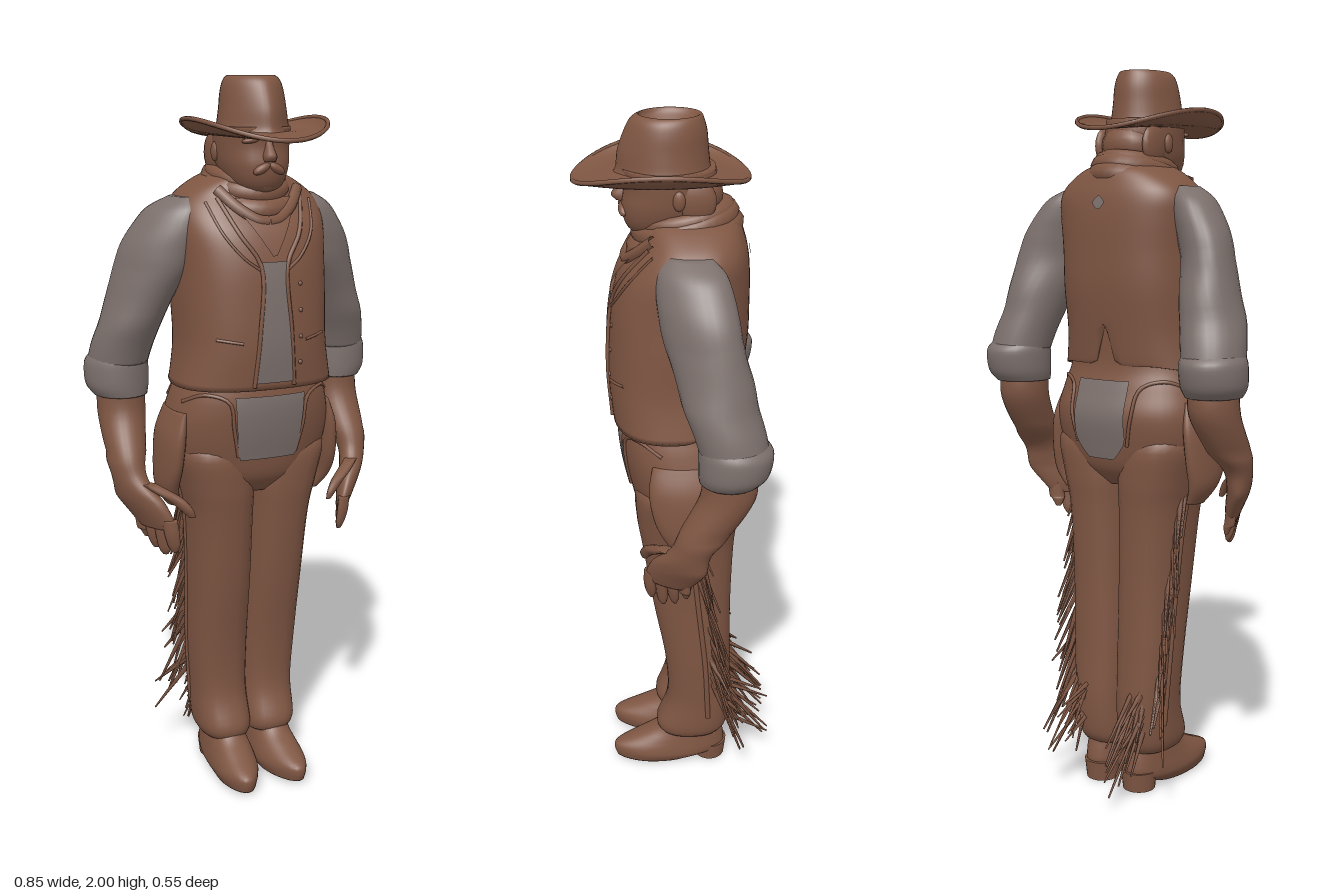
import * as THREE from 'three';

const mat = (name, color) => new THREE.MeshStandardMaterial({ name, color, side: THREE.DoubleSide });

// Smoothly sampled cross-section [x, y, z, rx, rz] at t in 0..1
function sample(secs, t) {
  const f = t * (secs.length - 1), i = Math.min(Math.floor(f), secs.length - 2), k = f - i;
  const at = j => secs[Math.max(0, Math.min(secs.length - 1, j))];
  return [0, 1, 2, 3, 4].map(c => {
    const [a, b, d, e] = [at(i - 1)[c], at(i)[c], at(i + 1)[c], at(i + 2)[c]];
    return b + 0.5 * k * (d - a + k * (2 * a - 5 * b + 4 * d - e + k * (3 * (b - d) + e - a)));
  });
}

// Grid of points; wrap joins the last column to the first
function grid(nu, nv, wrap, fn) {
  const pos = [], idx = [], cols = wrap ? nu : nu + 1;
  for (let j = 0; j <= nv; j++) for (let i = 0; i < cols; i++) pos.push(...fn(i / nu, j / nv, j));
  for (let j = 0; j < nv; j++) for (let i = 0; i < nu; i++) {
    const a = j * cols + i, b = j * cols + (i + 1) % cols, c = a + cols, d = b + cols;
    idx.push(a, b, d, a, d, c);
  }
  const g = new THREE.BufferGeometry();
  g.setAttribute('position', new THREE.Float32BufferAttribute(pos, 3));
  g.setIndex(idx);
  g.computeVertexNormals();
  return g;
}

// Closed body through horizontal superellipse sections, with an optional vertex rule
function loft(secs, { s = 1, n = 2, segs = 28, rule = null } = {}) {
  if (secs[0][1] > secs[secs.length - 1][1]) secs = [...secs].reverse();
  const rows = (secs.length - 1) * 5;
  return grid(segs, rows + 2, true, (u, v, j) => {
    const [x, y, z, rx, rz] = sample(secs, Math.max(0, Math.min(1, (j - 1) / rows)));
    const k = j === 0 || j === rows + 2 ? 0.001 : 1, a = u * Math.PI * 2;
    const pw = w => Math.sign(w) * Math.abs(w) ** (2 / n) * k;
    const p = [s * x + rx * pw(Math.sin(a)), y, z + rz * pw(Math.cos(a))];
    return rule ? rule(p) : p;
  });
}

// Point on the front (sign 1) or back (sign -1) of a lofted body
function onSurface(secs, n, x, y, sign, off) {
  let lo = 0, hi = 1;
  for (let i = 0; i < 24; i++) { const m = (lo + hi) / 2; if (sample(secs, m)[1] < y) lo = m; else hi = m; }
  const [, , z, rx, rz] = sample(secs, lo);
  return [x, y, z + sign * (off + rz * Math.max(0, 1 - Math.abs(x / rx) ** n) ** (1 / n))];
}

const patch = (secs, n, sign, y0, y1, width, off) => grid(14, 14, false, (u, v) =>
  onSurface(secs, n, sign * (2 * u - 1) * width(v), y0 + (y1 - y0) * v, sign, off));

const surfaceTube = (secs, n, sign, pts, r) => new THREE.TubeGeometry(new THREE.CatmullRomCurve3(
  pts.map(([x, y]) => new THREE.Vector3(...onSurface(secs, n, x, y, sign, 0.002)))), 20, r, 6);

const TORSO = [[0, 1.19, 0.018, 0.225, 0.165], [0, 1.3, 0.015, 0.207, 0.178], [0, 1.42, 0.005, 0.207, 0.184],
  [0, 1.52, -0.001, 0.207, 0.18], [0, 1.6, -0.012, 0.212, 0.168], [0, 1.655, -0.027, 0.21, 0.148],
  [0, 1.695, -0.035, 0.185, 0.13], [0, 1.735, -0.032, 0.125, 0.115], [0, 1.755, -0.025, 0.07, 0.08]];
const HIPS = [[0, 0.88, -0.015, 0.1, 0.1], [0, 0.93, -0.015, 0.18, 0.14], [0, 1.0, -0.015, 0.225, 0.158],
  [0, 1.08, -0.012, 0.236, 0.171], [0, 1.15, 0, 0.222, 0.165], [0, 1.22, 0.005, 0.2, 0.153], [0, 1.35, 0, 0.18, 0.155]];
const LEG = [[0.11, 1.05, -0.015, 0.07, 0.09], [0.11, 1.0, -0.015, 0.11, 0.139], [0.096, 0.9, -0.017, 0.104, 0.141],
  [0.087, 0.8, -0.02, 0.093, 0.13], [0.081, 0.6, -0.032, 0.088, 0.113], [0.078, 0.4, -0.05, 0.085, 0.097],
  [0.074, 0.25, -0.055, 0.08, 0.096], [0.071, 0.15, -0.035, 0.08, 0.108], [0.068, 0.115, -0.03, 0.07, 0.094]];
const SLEEVE = [[0.18, 1.69, -0.045, 0.025, 0.05], [0.195, 1.66, -0.04, 0.066, 0.078], [0.217, 1.615, -0.035, 0.082, 0.089],
  [0.243, 1.56, -0.032, 0.089, 0.092], [0.266, 1.49, -0.036, 0.087, 0.093], [0.293, 1.4, -0.07, 0.084, 0.097],
  [0.323, 1.3, -0.108, 0.085, 0.093], [0.335, 1.24, -0.125, 0.083, 0.09]];
const CUFF = [[0.334, 1.26, -0.122, 0.08, 0.085], [0.338, 1.235, -0.13, 0.088, 0.096], [0.338, 1.18, -0.126, 0.087, 0.092],
  [0.332, 1.15, -0.117, 0.074, 0.08]];
const FOREARM = [[0.33, 1.18, -0.115, 0.066, 0.07], [0.332, 1.1, -0.112, 0.066, 0.073], [0.34, 1.0, -0.056, 0.054, 0.068],
  [0.334, 0.94, -0.018, 0.041, 0.054], [0.318, 0.88, 0.012, 0.036, 0.07], [0.302, 0.83, 0.034, 0.028, 0.066],
  [0.295, 0.8, 0.042, 0.02, 0.055]];
const THUMB = [[0.315, 0.925, 0.045, 0.02, 0.022], [0.285, 0.895, 0.08, 0.022, 0.021], [0.26, 0.86, 0.1, 0.016, 0.016],
  [0.247, 0.835, 0.105, 0.008, 0.008]];
const BOOT = [[0.067, 0.004, 0.08, 0.054, 0.12], [0.067, 0.03, 0.05, 0.066, 0.157], [0.067, 0.052, 0.032, 0.066, 0.165],
  [0.067, 0.085, 0.0, 0.06, 0.132], [0.067, 0.12, -0.025, 0.055, 0.1], [0.067, 0.18, -0.045, 0.05, 0.075]];
const HEAD = [[0, 1.695, 0.07, 0.035, 0.045], [0, 1.725, 0.052, 0.07, 0.088], [0, 1.77, 0.033, 0.09, 0.117],
  [0, 1.82, 0.024, 0.096, 0.12], [0, 1.87, 0.03, 0.097, 0.12]];
const CROWN = [[0, 1.848, 0.043, 0.11, 0.132], [0, 1.865, 0.042, 0.096, 0.12], [0, 1.91, 0.042, 0.088, 0.114],
  [0, 1.955, 0.036, 0.082, 0.104], [0, 1.985, 0.032, 0.073, 0.092], [0, 1.998, 0.026, 0.058, 0.078],
  [0, 1.985, 0.032, 0.046, 0.07], [0, 1.965, 0.038, 0.022, 0.045]];

export function createModel() {
  const model = new THREE.Group();
  const leather = mat('brown leather', 0x7f5643), cloth = mat('grey cloth', 0x7c706c);
  let seed = 7;
  const rand = () => (seed = (seed * 16807) % 2147483647) / 2147483647;
  const add = (name, geo, m = leather) => {
    const mesh = new THREE.Mesh(geo, m);
    mesh.name = name;
    model.add(mesh);
    return mesh;
  };
  const ball = (name, [x, y, z], [rx, ry, rz], tilt = 0) => {
    const b = add(name, new THREE.SphereGeometry(1, 14, 10));
    b.position.set(x, y, z); b.scale.set(rx, ry, rz); b.rotation.z = tilt;
  };
  const strand = (a, b, r) => {
    const A = new THREE.Vector3(...a), d = new THREE.Vector3(...b).sub(A);
    const c = add('fringeStrand', new THREE.CylinderGeometry(r * 0.3, r, d.length(), 4));
    c.position.copy(A).addScaledVector(d, 0.5);
    c.quaternion.setFromUnitVectors(new THREE.Vector3(0, 1, 0), d.normalize());
  };

  // Vest with a slit at the back hem, and the shirt in its opening
  add('vest', loft(TORSO, { n: 2.5, segs: 72, rule: ([x, y, z]) =>
    [x, z < 0 ? Math.max(y, 1.19 + Math.min(0.025, -z * 0.2) + 0.11 * Math.max(0, 1 - Math.abs(x) / 0.035)) : y, z] }));
  add('shirtFront', patch(TORSO, 2.5, 1, 1.21, 1.53, v => 0.055 - 0.018 * v, 0.004), cloth);
  add('backSpot', patch(TORSO, 2.5, -1, 1.63, 1.665, v => 0.003 + 0.016 * Math.sin(v * Math.PI), 0.005), cloth);
  for (const s of [-1, 1]) {
    add('vestEdge', surfaceTube(TORSO, 2.5, 1, [[s * 0.12, 1.69], [s * 0.085, 1.6], [s * 0.038, 1.52], [s * 0.045, 1.35], [s * 0.058, 1.2]], 0.006));
    add('lapel', surfaceTube(TORSO, 2.5, 1, [[s * 0.15, 1.68], [s * 0.125, 1.6], [s * 0.08, 1.54], [s * 0.04, 1.51]], 0.004));
    add('vestPocket', surfaceTube(TORSO, 2.5, 1, [[s * 0.09, 1.32], [s * 0.12, 1.325], [s * 0.155, 1.33]], 0.004));
  }
  for (let i = 0; i < 4; i++) ball('vestButton', onSurface(TORSO, 2.5, 0.075, 1.26 + i * 0.07, 1, 0.001), [0.006, 0.006, 0.004]);

  // Trousers with open-seat chaps
  add('hips', loft(HIPS, { n: 2.3, segs: 48 }));
  add('frontPatch', patch(HIPS, 2.3, 1, 0.99, 1.17, v => 0.08 + 0.022 * Math.sqrt(v), 0.007), cloth);
  add('seatPatch', patch(HIPS, 2.3, -1, 0.96, 1.175, v => 0.085 * Math.sqrt(Math.min(1, 0.25 + v * 3)), 0.008), cloth);
  for (const sign of [1, -1]) for (const s of [-1, 1])
    add('chapsBelt', surfaceTube(HIPS, 2.3, sign, [[s * 0.215, 1.15], [s * 0.17, 1.175], [s * 0.115, 1.155], [s * 0.102, 1.08], [s * 0.085, 1.0]], 0.005));

  for (const s of [-1, 1]) {
    // Leg, side flap and boot
    add('leg', loft(LEG, { s, n: 2.4 }));
    add('chapsFlap', loft([[0.215, 1.12, 0.0, 0.015, 0.08], [0.228, 1.05, -0.005, 0.03, 0.095], [0.235, 0.96, -0.01, 0.032, 0.085],
      [0.235, 0.89, -0.02, 0.028, 0.06], [0.215, 0.84, -0.03, 0.018, 0.035]], { s }));
    add('legSeam', new THREE.TubeGeometry(new THREE.CatmullRomCurve3([[0.2, 0.92, -0.02], [0.178, 0.8, -0.03], [0.166, 0.6, -0.05],
      [0.16, 0.4, -0.07], [0.148, 0.2, -0.08]].map(([x, y, z]) => new THREE.Vector3(s * x, y, z))), 24, 0.008, 6));
    add('boot', loft(BOOT, { s, segs: 36, n: 2.3, rule: ([x, y, z]) => {
      const k = Math.max(0, z - 0.06) / 0.15;
      return [s * 0.07 + (x - s * 0.067) * (1 - 0.35 * k * k) + s * 0.012 * k, y + 0.008 * k, z];
    } }));
    const heel = add('bootHeel', new THREE.CylinderGeometry(0.052, 0.046, 0.055, 20));
    heel.position.set(s * 0.067, 0.0275, -0.09);

    // Fringe down the outer seam and behind the calf
    for (let i = 0; i < 32; i++) {
      const t = i / 31, y = 0.88 - 0.58 * t, x = 0.18 - 0.03 * Math.min(1, t * 2);
      strand([s * x, y, -0.03 - 0.06 * t - 0.02 * rand()],
        [s * (x + 0.015 + 0.06 * Math.sqrt(t) * rand()), Math.max(0.07, y - 0.1 - 0.12 * rand()), -0.06 - 0.1 * t - 0.04 * rand()], 0.009);
    }
    for (let i = 0; i < 18; i++) {
      const x = 0.075 + 0.05 * rand(), y = 0.19 + 0.13 * rand();
      strand([s * x, y, -0.13], [s * (x + 0.01 * rand()), y - 0.04 - 0.14 * rand(), -0.17 - 0.1 * rand()], 0.009);
    }

    // Arm with rolled sleeve; the shoulder slants back towards the outside
    add('sleeve', loft(SLEEVE, { s, rule: ([x, y, z]) =>
      [x, y, z - 0.45 * (Math.abs(x) - 0.23) * Math.max(0, Math.min(1, (y - 1.35) / 0.15))] }), cloth);
    add('rolledCuff', loft(CUFF, { s }), cloth);
    // Hand turned so that its front edge points inwards
    const turn = ([x, y, z]) => [x - s * 0.5 * (z - 0.03) * Math.max(0, Math.min(1, (1 - y) / 0.12)), y, z];
    add('forearmAndPalm', loft(FOREARM, { s, rule: turn }));
    add('thumb', loft(THUMB, { s, segs: 10, rule: turn }));
    for (let i = 0; i < 4; i++) {
      const z = -0.004 + i * 0.031, tip = [0.76, 0.735, 0.722, 0.735][i];
      add('finger', loft([[0.298, 0.83, z, 0.018, 0.017], [0.294, 0.79, z + 0.002, 0.018, 0.017],
        [0.287, tip + 0.02, z, 0.014, 0.014], [0.283, tip, z - 0.002, 0.006, 0.006]], { s, segs: 10, rule: turn }));
    }

    // Face halves, ears and the scarf folds on the chest
    ball('ear', [s * 0.094, 1.805, 0.005], [0.01, 0.026, 0.016]);
    ball('brow', [s * 0.04, 1.838, 0.13], [0.032, 0.008, 0.014], -s * 0.15);
    ball('moustache', [s * 0.02, 1.766, 0.143], [0.027, 0.012, 0.014], -s * 0.5);
    ball('sideHair', [s * 0.08, 1.8, -0.04], [0.018, 0.055, 0.05]);
    add('scarfFold', surfaceTube(TORSO, 2.5, 1, [[s * 0.115, 1.71], [s * 0.075, 1.665], [s * 0.03, 1.635], [0, 1.63]], 0.016));
  }

  // Head, neck and scarf
  add('head', loft(HEAD, { n: 2.2 }));
  add('neck', loft([[0, 1.6, -0.02, 0.085, 0.09], [0, 1.7, -0.01, 0.08, 0.085], [0, 1.78, 0, 0.075, 0.08]]));
  add('nose', loft([[0, 1.783, 0.142, 0.016, 0.022], [0, 1.797, 0.145, 0.018, 0.029], [0, 1.82, 0.138, 0.012, 0.022], [0, 1.845, 0.13, 0.01, 0.014]], { segs: 12 }));
  ball('chin', [0, 1.725, 0.112], [0.034, 0.024, 0.025]);
  ball('backHair', [0, 1.8, -0.05], [0.08, 0.06, 0.06]);
  [[1.69, 0.11, 0.033], [1.725, 0.1, 0.03], [1.745, 0.095, 0.024]].forEach(([y, r, tube], i) => {
    const roll = add('scarfRoll', new THREE.TorusGeometry(r, tube, 10, 36));
    roll.rotation.x = Math.PI / 2 + 0.28 - 0.05 * i;
    roll.scale.set(0.9, 1.1, 1);
    roll.position.set(0, y, -0.012);
  });
  add('scarfPoint', patch(TORSO, 2.5, 1, 1.545, 1.69, v => 0.006 + 0.09 * v, 0.01));

  // Hat: pinched crown and a brim that dips front and back and curls up at the sides
  const pinch = ([x, y, z]) => [x * (1 - 0.4 * Math.max(0, (z - 0.04) / 0.122) ** 2), y, z];
  add('hatCrown', loft(CROWN, { segs: 40, rule: pinch }));
  const brim = (a, r) => {
    const sn = Math.sin(a), c = Math.cos(a);
    return [sn * (0.08 + 0.105 * r), 1.853 + 0.038 * r ** 5 * sn * sn - 0.013 * r * c * c, 0.048 + c * (0.1 + 0.122 * r)];
  };
  for (const thickness of [0.005, -0.005]) add('hatBrim', grid(56, 10, true, (u, v) => {
    const [x, y, z] = brim(u * Math.PI * 2, 1 - v);
    return [x, y + thickness, z];
  }));
  const rim = Array.from({ length: 40 }, (_, i) => new THREE.Vector3(...brim(i / 40 * Math.PI * 2, 1)));
  add('hatRim', new THREE.TubeGeometry(new THREE.CatmullRomCurve3(rim, true), 80, 0.006, 6, true));
  return model;
}
